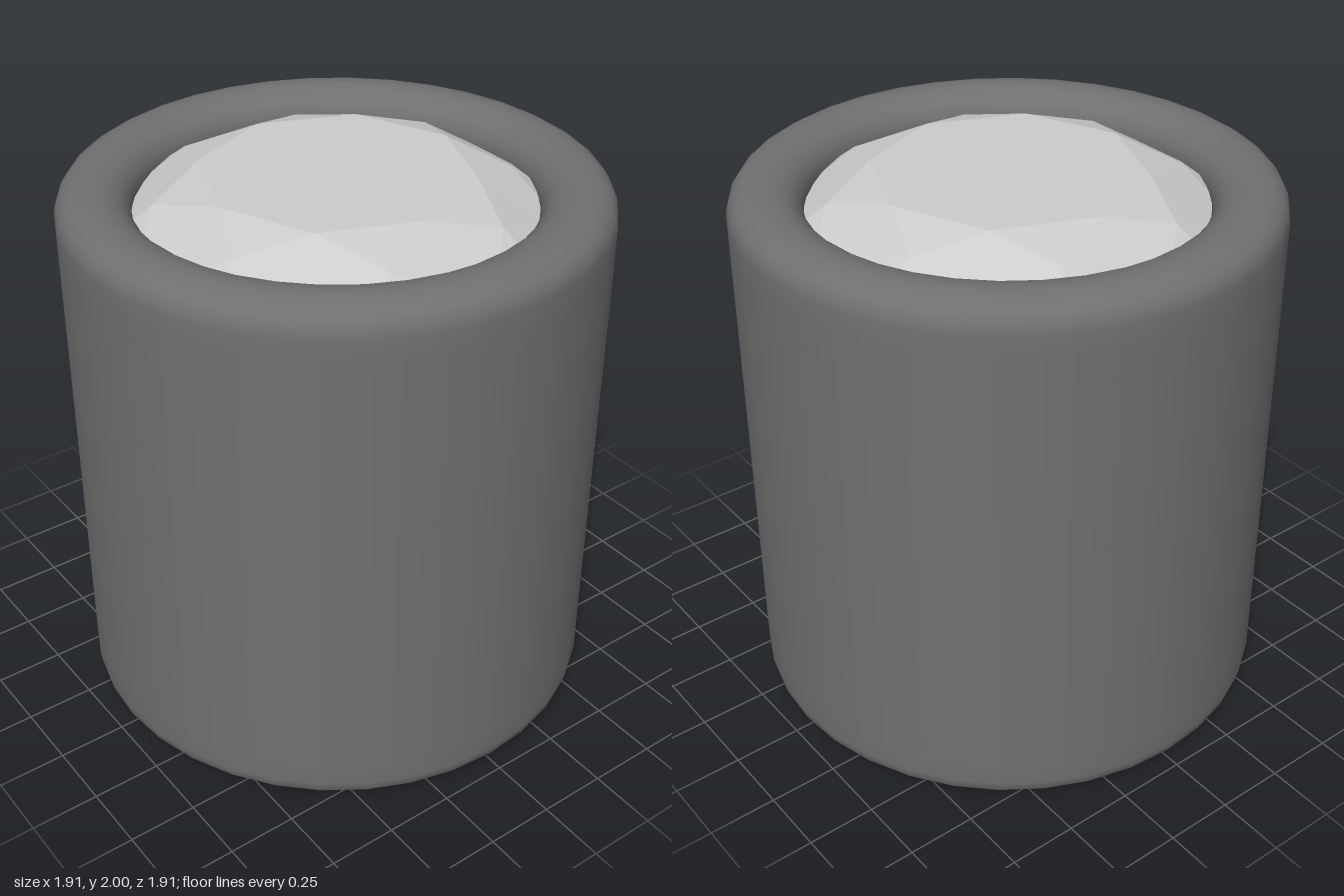
import * as THREE from 'three';

// Point at radius r, angle in degrees, height y
const polar = (r, deg, y) => {
  const a = THREE.MathUtils.degToRad(deg);
  return [r * Math.sin(a), y, r * Math.cos(a)];
};

// Rounded cylindrical body with a recess in the top
function createBody() {
  const profile = [
    [0, 0], [0.45, 0], [0.87, 0], [0.9, 0.003], [0.93, 0.014], [0.948, 0.035], [0.955, 0.07],
    [0.955, 0.15], [0.955, 1.82], [0.955, 1.89], [0.947, 1.925], [0.927, 1.955], [0.895, 1.975],
    [0.85, 1.986], [0.81, 1.986], [0.765, 1.975], [0.73, 1.952], [0.705, 1.92],
    [0.695, 1.88], [0.695, 1.75], [0.695, 1.7], [0, 1.7],
  ].map(([x, y]) => new THREE.Vector2(x, y));
  const body = new THREE.Mesh(
    new THREE.LatheGeometry(profile, 36),
    new THREE.MeshStandardMaterial({ color: 0x707070 })
  );
  body.name = 'body';
  return body;
}

// Brilliant-cut crown: octagonal table, star, kite and girdle facets
function createGem() {
  const positions = [];
  const tri = (...corners) => corners.forEach((c) => positions.push(...c));
  const tableY = 2, starY = 1.942, girdleY = 1.815, baseY = 1.76, R = 0.8;
  for (let i = 0; i < 8; i++) {
    const a = i * 45;
    const t0 = polar(0.48, a, tableY), t1 = polar(0.48, a + 45, tableY);
    const star = polar(0.63, a + 22.5, starY);
    const prevStar = polar(0.63, a - 22.5, starY);
    const g0 = polar(R, a, girdleY);
    const gMid = polar(R, a + 22.5, girdleY);
    const g1 = polar(R, a + 45, girdleY);
    tri([0, tableY, 0], t0, t1);
    tri(t0, star, t1);
    // Kite facet
    tri(t0, prevStar, g0);
    tri(t0, g0, star);
    // Upper girdle facets
    tri(star, g0, gMid);
    tri(star, gMid, g1);
    // Girdle band and closed underside
    for (const [p, q] of [[g0, gMid], [gMid, g1]]) {
      const pb = [p[0], baseY, p[2]], qb = [q[0], baseY, q[2]];
      tri(p, pb, q);
      tri(q, pb, qb);
      tri([0, baseY, 0], qb, pb);
    }
  }
  const geometry = new THREE.BufferGeometry();
  geometry.setAttribute('position', new THREE.Float32BufferAttribute(positions, 3));
  geometry.computeVertexNormals();
  const gem = new THREE.Mesh(
    geometry,
    new THREE.MeshStandardMaterial({ color: 0xcccccc, flatShading: true })
  );
  gem.name = 'gem';
  return gem;
}

export function createModel() {
  const model = new THREE.Group();
  model.name = 'gemSetCylinder';
  model.add(createBody(), createGem());
  return model;
}
